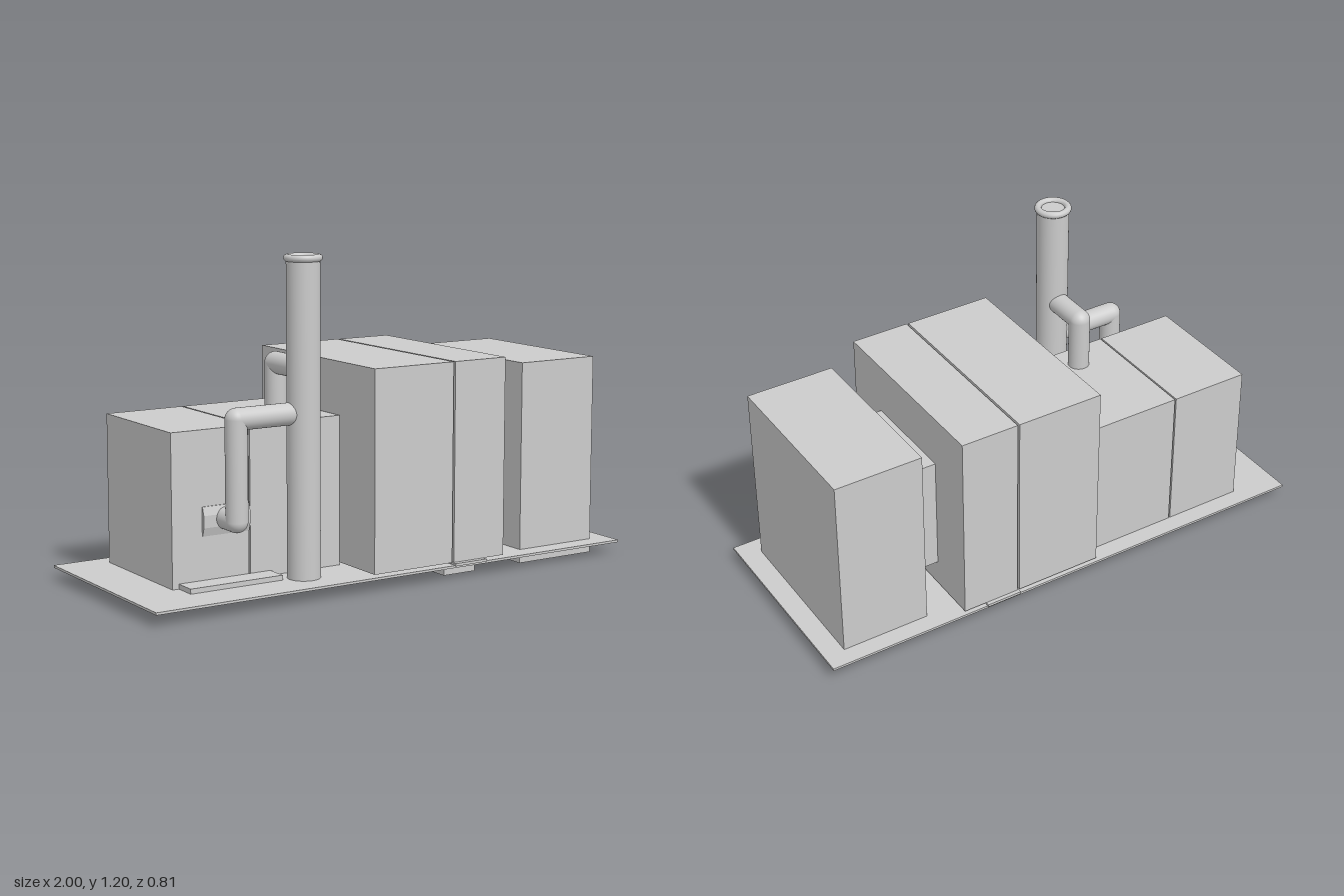
import * as THREE from 'three';

const material = new THREE.MeshStandardMaterial({ color: 0xcccccc });
const flat = new THREE.MeshStandardMaterial({ color: 0xcccccc, flatShading: true });

export function createModel() {
  const model = new THREE.Group();
  model.name = 'machineSkid';

  function add(name, geometry, mat = material) {
    const mesh = new THREE.Mesh(geometry, mat);
    mesh.name = name;
    model.add(mesh);
    return mesh;
  }

  // Box given by its limits on each axis
  function box(name, [x0, x1], [y0, y1], [z0, z1]) {
    add(name, new THREE.BoxGeometry(x1 - x0, y1 - y0, z1 - z0))
      .position.set((x0 + x1) / 2, (y0 + y1) / 2, (z0 + z1) / 2);
  }

  // Straight pipe runs with a ball at each inner bend
  function pipe(name, radius, coords) {
    const points = coords.map(c => new THREE.Vector3(...c));
    for (let i = 0; i < points.length - 1; i++) {
      const dir = points[i + 1].clone().sub(points[i]);
      const run = add(name + 'Run', new THREE.CylinderGeometry(radius, radius, dir.length(), 32));
      run.position.copy(points[i]).addScaledVector(dir, 0.5);
      run.quaternion.setFromUnitVectors(new THREE.Vector3(0, 1, 0), dir.normalize());
      if (i > 0) add(name + 'Elbow', new THREE.SphereGeometry(radius, 32, 16)).position.copy(points[i]);
    }
  }

  // Base plate and the slabs on it
  box('basePlate', [-1, 1], [0.043, 0.052], [-0.4, 0.4]);
  box('crossSlab', [0.225, 0.365], [0.05, 0.06], [-0.405, 0.405]);
  box('crossFoot', [0.225, 0.365], [0, 0.05], [-0.33, 0.33]);
  box('frontSlab', [-0.785, -0.415], [0.05, 0.07], [0.16, 0.245]);

  // Housings, separated by narrow gaps
  box('engineHousing', [-0.81, -0.503], [0, 0.605], [-0.33, 0.16]);
  box('boilerHousing', [-0.497, -0.122], [0, 0.605], [-0.33, 0.16]);
  box('tallHousing', [-0.118, 0.222], [0.06, 0.8], [-0.39, 0.385]);
  box('narrowHousing', [0.23, 0.455], [0.06, 0.8], [-0.39, 0.385]);
  box('duct', [0.455, 0.58], [0.16, 0.605], [-0.2, 0.19]);
  box('endHousing', [0.58, 0.92], [0, 0.762], [-0.33, 0.325]);

  // Faceted manifold on the engine's front
  const manifold = add('manifold', new THREE.CylinderGeometry(0.057, 0.057, 0.187, 8), flat);
  manifold.geometry.rotateY(Math.PI / 8).rotateZ(Math.PI / 2).scale(1, 1, 0.3);
  manifold.position.set(-0.597, 0.28, 0.157);

  // Chimney with a rounded rim
  add('chimney', new THREE.CylinderGeometry(0.06, 0.06, 1.145, 40)).position.set(-0.33, 0.6175, 0.25);
  const rim = add('chimneyRim', new THREE.TorusGeometry(0.056, 0.013, 12, 40));
  rim.rotation.x = Math.PI / 2;
  rim.position.set(-0.33, 1.19, 0.25);

  // Exhaust pipes leading into the chimney
  pipe('engineExhaust', 0.04, [[-0.6, 0.285, 0.15], [-0.6, 0.285, 0.245], [-0.6, 0.645, 0.245], [-0.33, 0.645, 0.245]]);
  pipe('boilerExhaust', 0.04, [[-0.33, 0.6, 0.062], [-0.33, 0.802, 0.062], [-0.33, 0.802, 0.25]]);

  return model;
}
